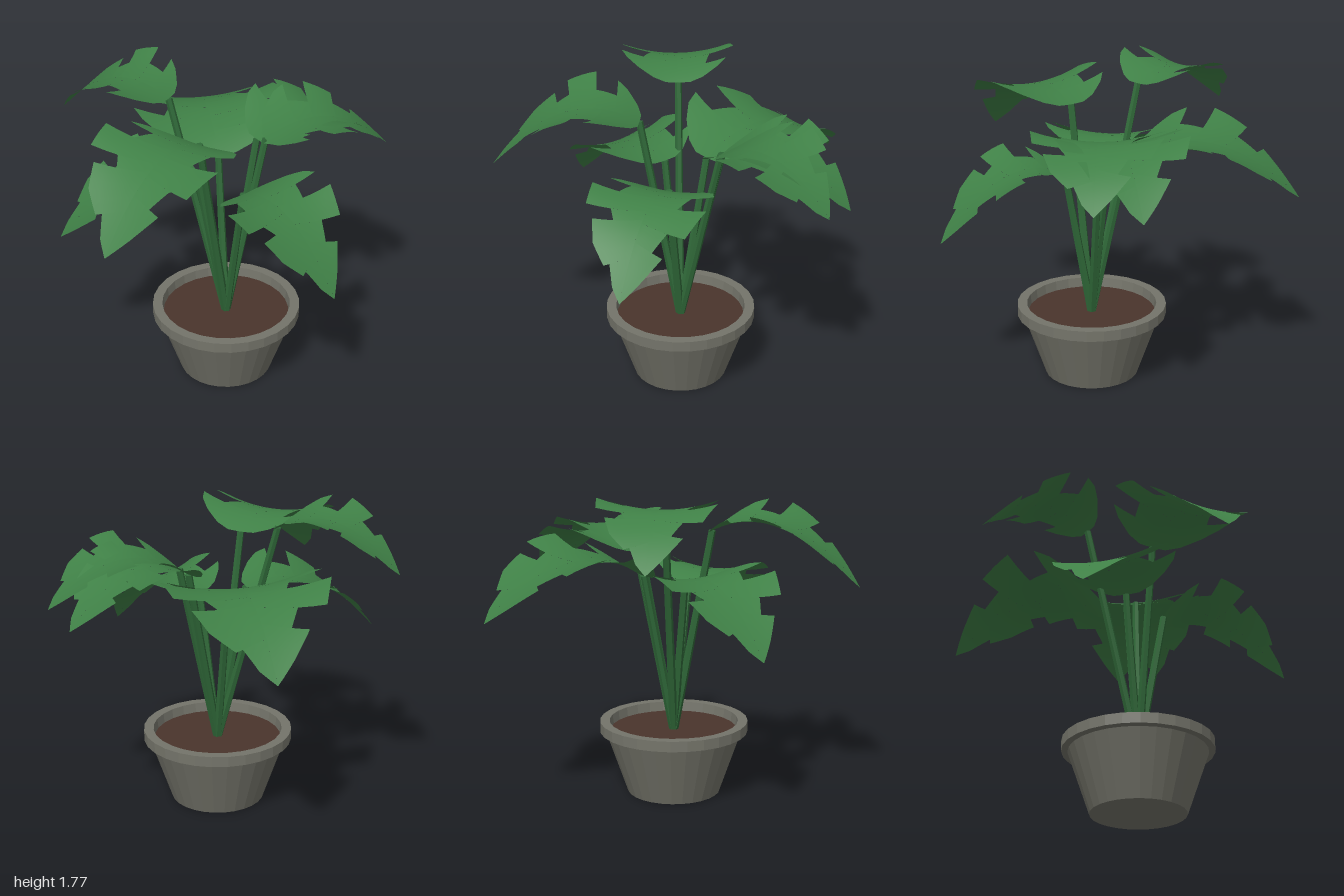
import * as THREE from 'three';
import { mergeVertices } from 'three/addons/utils/BufferGeometryUtils.js';

const mat = (name, color, extra = {}) => Object.assign(new THREE.MeshStandardMaterial({ color, ...extra }), { name });

// Half-leaf outlines: [position along midrib, half width]; repeated positions make the notches
const LEFT = [[0, .1], [.03, .2], [.1, .33], [.17, .42], [.24, .46], [.24, .28], [.376, .22], [.376, .46],
  [.56, .37], [.56, .22], [.69, .15], [.69, .24], [.85, .12], [1, 0]];
const RIGHT = [[0, .1], [.03, .2], [.1, .33], [.16, .4], [.16, .23], [.285, .27], [.285, .47], [.45, .44],
  [.45, .26], [.53, .21], [.53, .36], [.66, .3], [.78, .18], [.78, .14], [.9, .08], [1, 0]];

// Arched, notched leaf from base to tip; bend sets how strongly the midrib arches
function leafGeometry(base, tip, bend) {
  const dx = tip.x - base.x, dz = tip.z - base.z, drop = tip.y - base.y;
  const L = Math.hypot(dx, dz), positions = [], index = [];
  const cols = 5;
  const addRow = (u, w, side) => {
    const start = positions.length / 3;
    for (let i = 0; i <= cols; i++) {
      const s = w * i / cols, t = u * (1 + s / 2); // notches sweep forward
      positions.push(
        base.x + dx * t - side * s * dz,
        base.y + (drop + bend) * t - bend * t * t + 0.4 * L * s * s,
        base.z + dz * t + side * s * dx);
    }
    return start;
  };
  for (const [side, outline] of [[-1, LEFT], [1, RIGHT]]) {
    for (let k = 0; k < outline.length - 1; k++) {
      const [u0, w0] = outline[k], [u1, w1] = outline[k + 1];
      if (u1 === u0) continue;
      const n = Math.ceil((u1 - u0) / 0.05);
      let prev = addRow(u0, w0, side);
      for (let j = 1; j <= n; j++) {
        const row = addRow(u0 + (u1 - u0) * j / n, w0 + (w1 - w0) * j / n, side);
        for (let i = 0; i < cols; i++) {
          const a = prev + i, b = row + i;
          if (side > 0) index.push(a, b, a + 1, a + 1, b, b + 1);
          else index.push(a, a + 1, b, a + 1, b + 1, b);
        }
        prev = row;
      }
    }
  }
  let g = new THREE.BufferGeometry();
  g.setAttribute('position', new THREE.Float32BufferAttribute(positions, 3));
  g.setIndex(index);
  g = mergeVertices(g, 1e-4);
  g.computeVertexNormals();
  return g;
}

export function createModel() {
  const group = new THREE.Group();
  const stone = mat('grey pot', 0x74746a, { flatShading: true });
  const earth = mat('brown soil', 0x4a342c);
  const stemGreen = mat('stem green', 0x2f6838, { flatShading: true });
  const leafGreen = mat('leaf green', 0x3f8046, { side: THREE.DoubleSide });
  const add = (parent, name, geometry, material) => {
    const m = new THREE.Mesh(geometry, material);
    m.name = name;
    parent.add(m);
    return m;
  };

  // Pot: tapered body, overhanging rim and inner wall in one profile
  const profile = [[0, 0], [.267, 0], [.39, .355], [.425, .36], [.425, .42], [.37, .42], [.36, .34]]
    .map(([r, y]) => new THREE.Vector2(r, y));
  add(group, 'pot', new THREE.LatheGeometry(profile, 28), stone).position.set(.025, 0, .05);
  add(group, 'soil', new THREE.CircleGeometry(.367, 28).rotateX(-Math.PI / 2), earth).position.set(.025, .365, .05);

  // Each plant arm: leaf base, leaf tip, arch of the midrib
  const arms = [
    ['front', [.01, 1.2, .2], [-.01, .88, .915], .69],
    ['right', [-.2, 1.53, .08], [-1, 1.25, .27], .72],
    ['leftFront', [.27, 1.41, .1], [.94, 1.27, .41], .62],
    ['left', [.26, 1.39, .04], [1, 1.22, .17], .65],
    ['backLeft', [.12, 1.28, -.12], [.63, 1.11, -.92], .78],
    ['back', [-.1, 1.64, -.28], [-.34, 1.45, -.92], .6],
    ['backRight', [-.1, 1.26, -.05], [-.76, .96, -.44], .62],
  ];
  const root = new THREE.Vector3(.025, .35, .05), up = new THREE.Vector3(0, 1, 0);
  for (const [name, b, t, bend] of arms) {
    const base = new THREE.Vector3(...b), tip = new THREE.Vector3(...t);
    const arm = new THREE.Group();
    arm.name = name + 'Branch';
    const dir = base.clone().sub(root);
    const stem = add(arm, name + 'Stem', new THREE.CylinderGeometry(.02, .024, dir.length(), 6), stemGreen);
    stem.position.copy(root).addScaledVector(dir, .5);
    stem.quaternion.setFromUnitVectors(up, dir.normalize());
    add(arm, name + 'Leaf', leafGeometry(base, tip, bend), leafGreen);
    group.add(arm);
  }
  return group;
}
